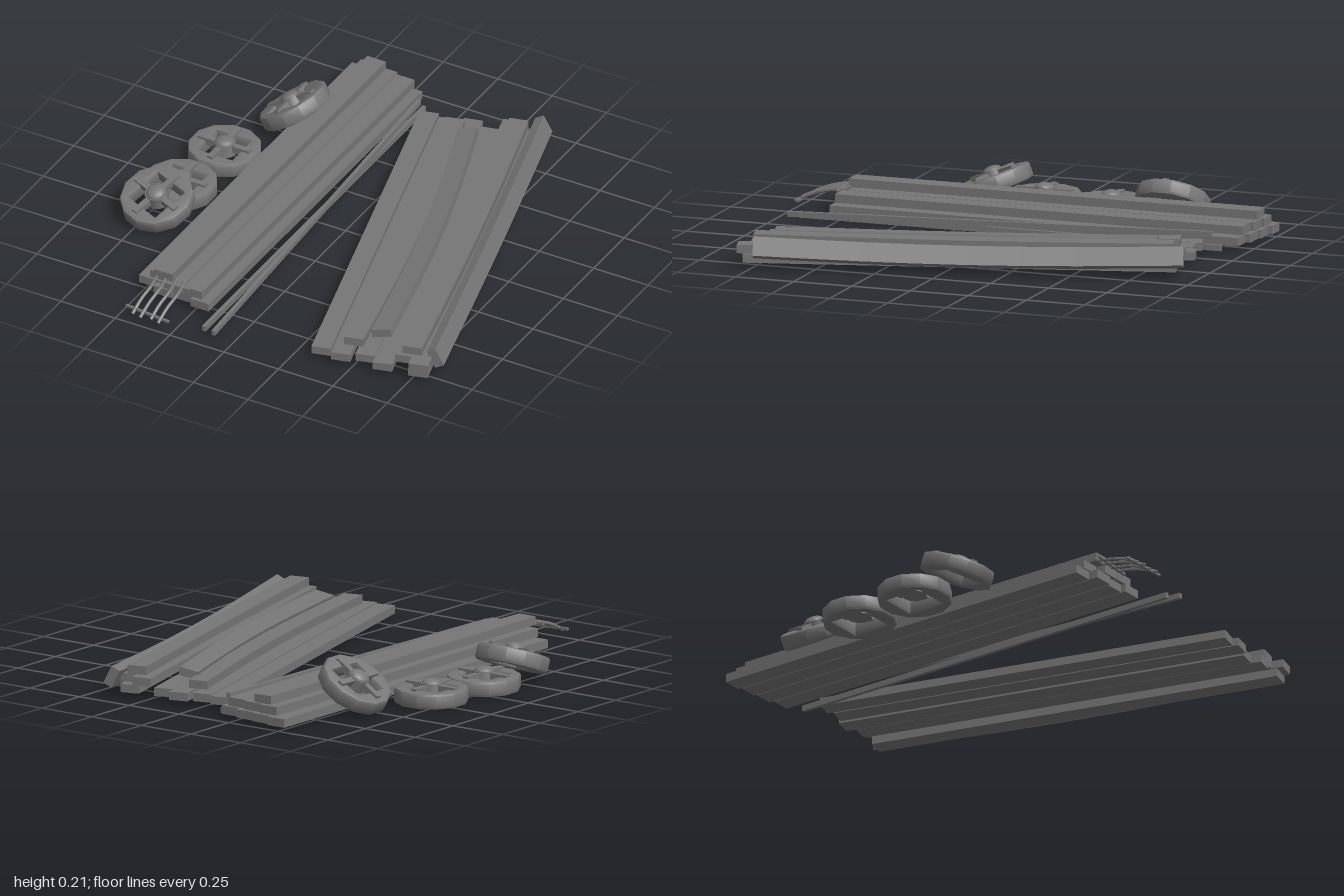
import * as THREE from 'three';
import { toCreasedNormals } from 'three/addons/utils/BufferGeometryUtils.js';

const wood = new THREE.MeshStandardMaterial({ color: 0x767676, flatShading: true });
const smooth = new THREE.MeshStandardMaterial({ color: 0x767676 });

function add(parent, name, geo, x = 0, y = 0, z = 0, mat = wood) {
  const m = new THREE.Mesh(geo, mat);
  m.name = name;
  m.position.set(x, y, z);
  parent.add(m);
  return m;
}

// A beam between two end centres; bow bends it sideways, sag downwards, roll tips it on its long axis.
function beam(parent, name, a, b, w, h, { bow = 0, sag = 0, roll = 0 } = {}) {
  const from = new THREE.Vector3(...a), to = new THREE.Vector3(...b);
  const len = from.distanceTo(to);
  const geo = new THREE.BoxGeometry(w, h, len, 1, 1, bow || sag ? 8 : 1).rotateZ(roll);
  const p = geo.attributes.position;
  for (let i = 0; i < p.count; i++) {
    const k = Math.cos((p.getZ(i) / len) * Math.PI);
    p.setX(i, p.getX(i) + bow * k);
    p.setY(i, p.getY(i) - sag * k);
  }
  const mid = from.clone().add(to).multiplyScalar(0.5);
  add(parent, name, geo, mid.x, mid.y, mid.z).lookAt(to);
}

// Twelve-sided wheel with a square opening, four raised spokes and a domed hub, axis along y.
function wheel(parent, x, y, z, tiltX, tiltZ, spin) {
  const g = new THREE.Group();
  g.name = 'wheel';
  const outline = new THREE.Shape();
  for (let i = 0; i < 12; i++) {
    const a = ((i + 0.5) / 12) * Math.PI * 2;
    outline[i ? 'lineTo' : 'moveTo'](0.138 * Math.cos(a), 0.138 * Math.sin(a));
  }
  const s = 0.092;
  outline.holes.push(new THREE.Path([[-s, -s], [-s, s], [s, s], [s, -s]].map(c => new THREE.Vector2(...c))));
  const rim = new THREE.ExtrudeGeometry(outline, {
    depth: 0.044, bevelThickness: 0.011, bevelSize: 0.013, bevelSegments: 2,
  });
  rim.translate(0, 0, -0.022).rotateX(-Math.PI / 2);
  add(g, 'rim', toCreasedNormals(rim, 0.6), 0, 0, 0, smooth);
  add(g, 'spoke', new THREE.BoxGeometry(0.24, 0.03, 0.026), 0, 0.028, 0);
  add(g, 'spoke', new THREE.BoxGeometry(0.026, 0.03, 0.24), 0, 0.028, 0);
  add(g, 'hub', toCreasedNormals(new THREE.CylinderGeometry(0.044, 0.05, 0.05, 12), 0.7), 0, 0.022, 0, smooth);
  add(g, 'hubDome', new THREE.SphereGeometry(0.04, 12, 5, 0, Math.PI * 2, 0, Math.PI / 2).scale(1, 0.5, 1), 0, 0.045, 0, smooth);
  g.position.set(x, y, z);
  g.rotation.set(tiltX, spin, tiltZ, 'ZXY');
  parent.add(g);
}

export function createModel() {
  const root = new THREE.Group();
  root.name = 'lumberAndWheels';

  // Straight stack: four planks, three on top of them, then one
  const stack = new THREE.Group();
  stack.name = 'straightStack';
  root.add(stack);
  [
    [-0.488, 0.037, -1.0, 0.75], [-0.4, 0.037, -0.985, 0.79], [-0.312, 0.037, -0.975, 0.78], [-0.224, 0.037, -0.955, 0.8],
    [-0.438, 0.077, -0.985, 0.75], [-0.35, 0.077, -0.975, 0.79], [-0.262, 0.077, -0.96, 0.79],
    [-0.4, 0.114, -0.97, 0.785],
  ].forEach(([x, y, z0, z1]) => beam(stack, 'plank', [x, y, z0], [x, y, z1], 0.084, 0.035));

  // Fanned stack: all planks share one slanted direction
  const fan = new THREE.Group();
  fan.name = 'slantedStack';
  root.add(fan);
  [
    [-0.085, 0.037, -0.84], [0.005, 0.037, -0.84], [0.095, 0.037, -0.88], [0.185, 0.037, -0.86],
    [0.332, 0.037, -0.89], [0.265, 0.077, -0.9], [0.345, 0.077, -0.87],
  ].forEach(([x, y, z]) => beam(fan, 'plank', [x, y, z], [x + 0.447, y, z + 1.69], 0.08, 0.034));
  beam(fan, 'warpedPlank', [0.055, 0.077, -0.8], [0.472, 0.077, 0.78], 0.08, 0.034, { bow: 0.03 });
  beam(fan, 'warpedPlank', [0.15, 0.098, -0.74], [0.55, 0.09, 0.69], 0.08, 0.034, { bow: 0.03, roll: 0.2 });
  beam(fan, 'warpedPlank', [0.31, 0.114, -0.87], [0.735, 0.114, 0.77], 0.08, 0.034, { bow: 0.012, sag: 0.004 });
  beam(fan, 'leaningPlank', [0.385, 0.088, -0.94], [0.825, 0.088, 0.74], 0.08, 0.04, { sag: 0.018, roll: -1.1 });

  // Two thin poles between the stacks
  beam(root, 'pole', [-0.142, 0.018, -0.9], [-0.14, 0.018, 0.915], 0.016, 0.024);
  beam(root, 'pole', [-0.142, 0.072, -0.86], [-0.083, 0.03, 0.94], 0.016, 0.022);

  // Bent rods with two crossbars at the end of the straight stack
  const rods = new THREE.Group();
  rods.name = 'rodBundle';
  root.add(rods);
  [-0.432, -0.392, -0.348, -0.31].forEach((x, i) => {
    const path = new THREE.CatmullRomCurve3([
      [x, 0.1, 0.77], [x + 0.012, 0.092, 0.85], [x + 0.006, 0.07, 0.92], [x + 0.003, 0.036, 0.985 + (i % 2) * 0.01],
    ].map(c => new THREE.Vector3(...c)));
    add(rods, 'rod', new THREE.TubeGeometry(path, 8, 0.007, 6));
  });
  beam(rods, 'crossbar', [-0.462, 0.1, 0.812], [-0.27, 0.094, 0.798], 0.01, 0.01);
  beam(rods, 'crossbar', [-0.472, 0.05, 0.96], [-0.27, 0.042, 0.972], 0.01, 0.01);

  // Two wheels lie flat, two lean
  wheel(root, -0.68, 0.034, -0.22, 0, 0, 0);
  wheel(root, -0.715, 0.034, 0.08, 0, 0, 0);
  wheel(root, -0.705, 0.09, 0.285, 0.37, 0, -0.35);
  wheel(root, -0.535, 0.112, -0.54, 0, 0.58, 0);
  return root;
}
